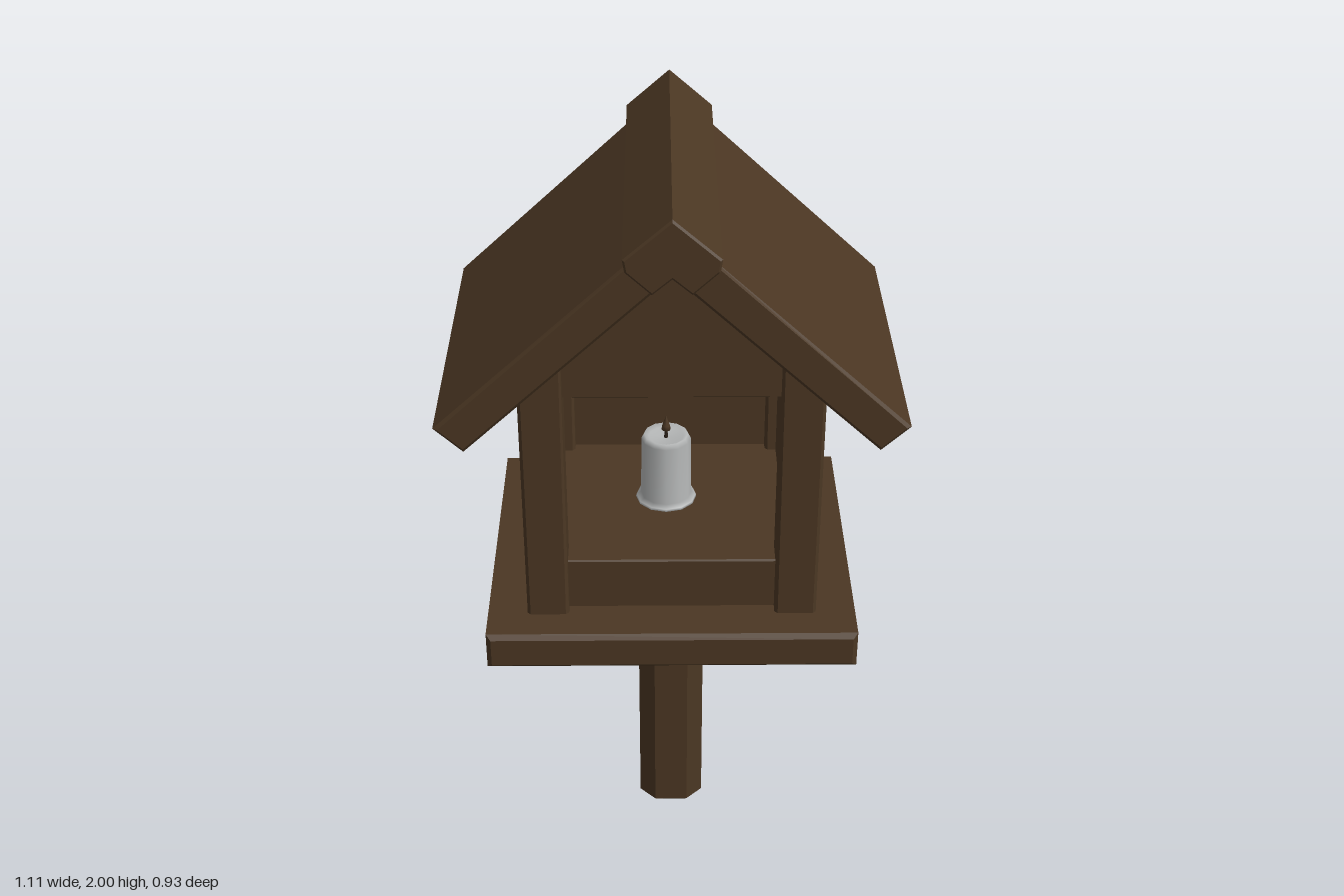
import * as THREE from 'three';

export function createModel() {
  const model = new THREE.Group();
  model.name = 'birdFeeder';
  const wood = new THREE.MeshStandardMaterial({ name: 'dark wood', color: 0x4b3723 });
  const wax = new THREE.MeshStandardMaterial({ name: 'pale wax', color: 0xb4b6b6 });
  const char = new THREE.MeshStandardMaterial({ name: 'burnt wick', color: 0x2a2018 });

  const add = (name, geometry, material = wood, parent = model) => {
    const mesh = new THREE.Mesh(geometry, material);
    mesh.name = name;
    parent.add(mesh);
    return mesh;
  };

  // Bevelled plank: an outline in x and y, running from z0 to z1
  const plank = (name, points, z0, z1, bevel = 0.008) => {
    const shape = new THREE.Shape(points.map(([x, y]) => new THREE.Vector2(x, y)));
    const geometry = new THREE.ExtrudeGeometry(shape, {
      depth: z1 - z0 - 2 * bevel, bevelThickness: bevel, bevelSize: bevel,
      bevelOffset: -bevel, bevelSegments: 1,
    });
    geometry.translate(0, 0, z0 + bevel);
    return add(name, geometry);
  };
  const rect = (x0, x1, y0, y1) => [[x0, y0], [x1, y0], [x1, y1], [x0, y1]];
  const flip = (points, s) => points.map(([x, y]) => [x * s, y]);

  // Pole: square with chamfered corners, stood upright
  const a = 0.088, c = 0.045;
  const pole = plank('pole', [
    [a, -c], [a, c], [c, a], [-c, a], [-a, c], [-a, -c], [-c, -a], [c, -a],
  ], 0, 0.78, 0.012);
  pole.rotation.x = -Math.PI / 2;

  // Base board and raised floor
  plank('baseBoard', rect(-0.465, 0.465, 0.76, 0.86), -0.43, 0.43, 0.012);
  plank('floor', rect(-0.29, 0.29, 0.85, 1.0), -0.27, 0.3, 0.004);

  // Back wall and front gable
  plank('backWall', [[-0.29, 0.85], [0.29, 0.85], [0.29, 1.61], [0, 1.87], [-0.29, 1.61]], -0.3, -0.26, 0.002);
  plank('frontGable', [[-0.29, 1.47], [0.29, 1.47], [0.29, 1.61], [0, 1.87], [-0.29, 1.61]], 0.26, 0.3, 0.002);

  for (const s of [1, -1]) {
    const side = s > 0 ? 'left' : 'right';
    plank(side + 'Wall', flip(rect(0.29, 0.335, 0.85, 1.57), s), -0.25, 0.25, 0.002);

    // Corner posts with tops cut to the roof slope
    const post = flip([[0.26, 0.85], [0.365, 0.85], [0.365, 1.54], [0.26, 1.635]], s);
    plank(side + 'FrontPost', post, 0.23, 0.335);
    plank(side + 'BackPost', post, -0.335, -0.23);

    // Roof slope
    plank(side + 'Roof', flip([[0.555, 1.46], [0.487, 1.397], [0, 1.846], [0, 1.97]], s), -0.43, 0.43);
  }

  // Ridge cap
  plank('ridgeCap', [
    [0, 2], [0.11, 1.905], [0.105, 1.875], [0.045, 1.82], [0, 1.858],
    [-0.045, 1.82], [-0.105, 1.875], [-0.11, 1.905],
  ], -0.465, 0.465, 0.005);

  // Candle with a spread of melted wax at its foot
  const candle = new THREE.Group();
  candle.name = 'candle';
  candle.position.set(-0.012, 0.998, 0);
  model.add(candle);
  const profile = [[0, 0], [0.08, 0], [0.078, 0.008], [0.066, 0.016], [0.064, 0.18], [0.057, 0.193], [0.045, 0.186], [0, 0.182]];
  add('waxBody', new THREE.LatheGeometry(profile.map(([x, y]) => new THREE.Vector2(x, y)), 12), wax, candle);
  add('wick', new THREE.CylinderGeometry(0.004, 0.006, 0.04, 6).translate(0, 0.195, 0), char, candle);
  const tip = [[0, 0.198], [0.012, 0.206], [0.01, 0.218], [0, 0.246]];
  add('wickTip', new THREE.LatheGeometry(tip.map(([x, y]) => new THREE.Vector2(x, y)), 8), wood, candle);

  return model;
}
